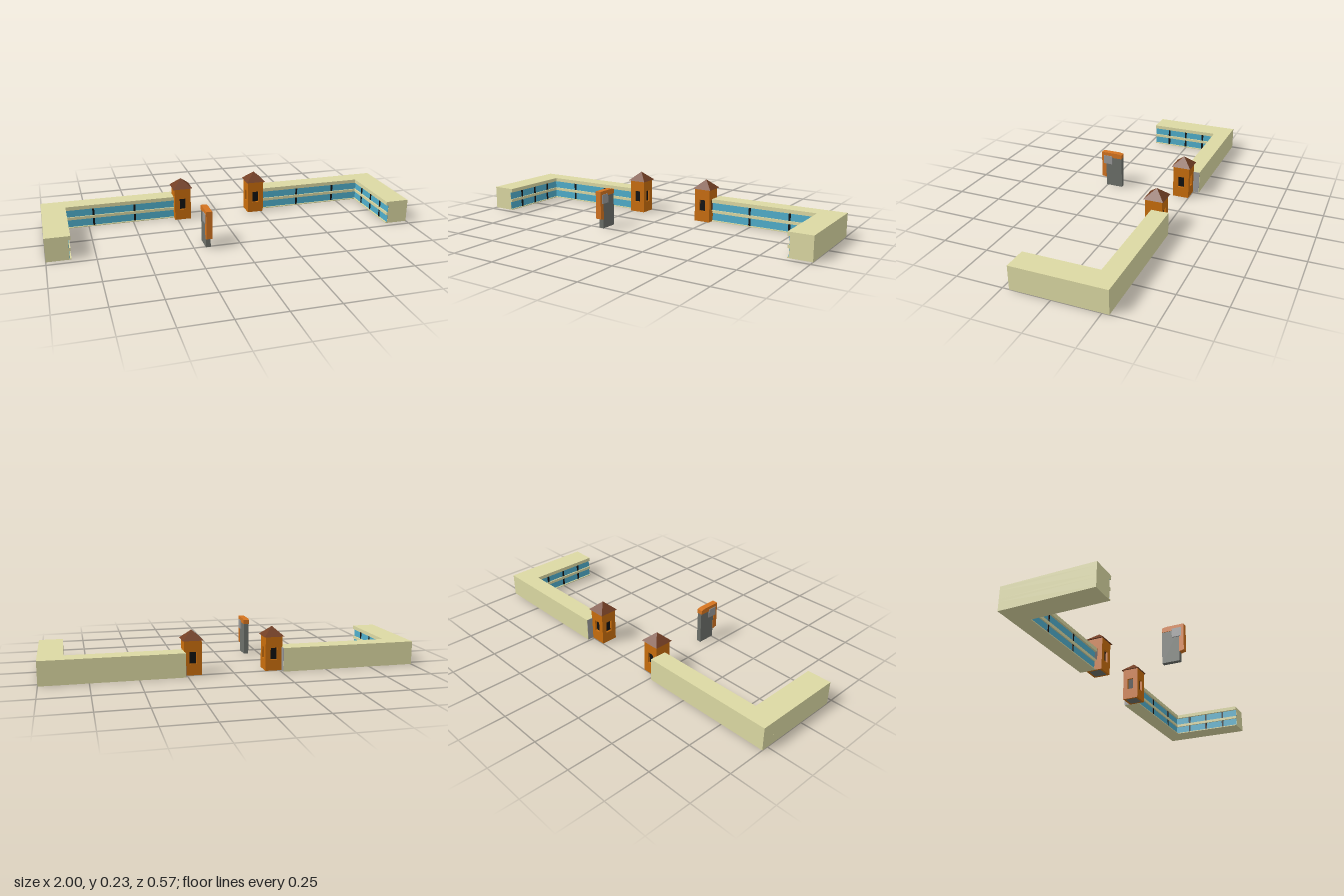
import * as THREE from 'three';

const mat = (color, opts = {}) => new THREE.MeshStandardMaterial({ color, ...opts });
const CREAM = mat(0xdcd9a3), BLUE = mat(0x4faecb), BLACK = mat(0x111111);
const ORANGE = mat(0xc96d0c), SIGN = mat(0xd47420), ROOF = mat(0x733f24, { flatShading: true });
const DARK = mat(0x6c706a), GREY = mat(0x999999);

function add(parent, name, geometry, material, x = 0, y = 0, z = 0) {
  const mesh = new THREE.Mesh(geometry, material);
  mesh.name = name;
  mesh.position.set(x, y, z);
  parent.add(mesh);
  return mesh;
}
const box = (w, h, d) => new THREE.BoxGeometry(w, h, d);
const polygon = (pts) => new THREE.Shape(pts.map(([x, y]) => new THREE.Vector2(x, y)));
const extrude = (shape, depth) => new THREE.ExtrudeGeometry(shape, { depth, bevelEnabled: false });

// L-shaped wing in stacked layers; the window rows step back on the courtyard side
function wing(s) {
  const g = new THREE.Group();
  g.name = s > 0 ? 'leftWing' : 'rightWing';
  const layers = [
    ['plinth', 0, 0.005, 0.003], ['lowerWall', 0.005, 0.048, 0.013], ['middleBand', 0.048, 0.064, 0.004],
    ['upperWall', 0.064, 0.107, 0.013], ['parapet', 0.107, 0.128, 0],
  ];
  for (const [name, y0, y1, i] of layers) {
    const plan = [[0.262, -0.285], [1, -0.285], [1, 0.215], [0.87 + i, 0.215], [0.87 + i, -0.19 - i], [0.262, -0.19 - i]];
    const geo = extrude(polygon(plan.map(([x, z]) => [s * x, -z])), y1 - y0);
    geo.rotateX(-Math.PI / 2);
    add(g, name, geo, CREAM, 0, y0, 0);
    if (!name.endsWith('Wall')) continue;
    // glass strips and mullions along both courtyard faces
    const h = y1 - y0, y = (y0 + y1) / 2;
    add(g, 'backGlass', box(0.62, h, 0.003), BLUE, s * 0.573, y, -0.2025);
    add(g, 'sideGlass', box(0.003, h, 0.415), BLUE, s * 0.8825, y, 0.0065);
    for (const x of [0.49, 0.72]) add(g, 'backMullion', box(0.011, h, 0.006), BLACK, s * x, y, -0.201);
    for (const z of [-0.11, 0.005, 0.12]) add(g, 'sideMullion', box(0.006, h, 0.011), BLACK, s * 0.881, y, z);
  }
  // plain inner end of the wing
  add(g, 'endCap', box(0.002, 0.126, 0.08), GREY, s * 0.2615, 0.064, -0.2435);
  return g;
}

// gate tower: four walls with window openings around a dark core, pyramid roof
function tower(s) {
  const g = new THREE.Group();
  g.name = s > 0 ? 'leftTower' : 'rightTower';
  const half = 0.046, top = 0.186;
  const wall = polygon([[-half, 0], [half, 0], [half, top], [-half, top]]);
  wall.holes.push(polygon([[-0.018, 0.06], [-0.018, 0.124], [0.018, 0.124], [0.018, 0.06]]));
  for (let k = 0; k < 4; k++) {
    const geo = extrude(wall, 0.012);
    geo.translate(0, 0, half - 0.012);
    geo.rotateY(k * Math.PI / 2);
    add(g, 'towerWall', geo, ORANGE);
  }
  add(g, 'darkInterior', box(0.068, 0.17, 0.068), BLACK, 0, 0.09, 0);
  add(g, 'towerFloor', box(0.07, 0.004, 0.07), DARK, 0, 0.002, 0);
  const roof = new THREE.ConeGeometry(0.055 * Math.SQRT2, 0.05, 4);
  roof.rotateY(Math.PI / 4);
  add(g, 'towerRoof', roof, ROOF, 0, 0.209, 0);
  g.position.set(s * 0.218, 0, -0.203);
  return g;
}

// free-standing sign: grey pillar, orange hood bent over its front and top, side panels
function entranceSign() {
  const g = new THREE.Group();
  g.name = 'entranceSign';
  add(g, 'pillar', box(0.026, 0.178, 0.097), DARK, 0, 0.089, 0.2085);
  const hood = polygon([
    [0.257, 0.05], [0.283, 0.056], [0.283, 0.207], [0.185, 0.207], [0.16, 0.202], [0.16, 0.178], [0.257, 0.178],
  ]);
  const geo = extrude(hood, 0.032);
  geo.translate(0, 0, -0.016);
  geo.rotateY(-Math.PI / 2);
  add(g, 'hood', geo, SIGN);
  add(g, 'sidePanels', box(0.038, 0.05, 0.052), GREY, 0, 0.163, 0.244);
  g.position.x = -0.175;
  return g;
}

export function createModel() {
  const model = new THREE.Group();
  model.name = 'gatehouseComplex';
  for (const s of [1, -1]) model.add(wing(s), tower(s));
  model.add(entranceSign());
  return model;
}
